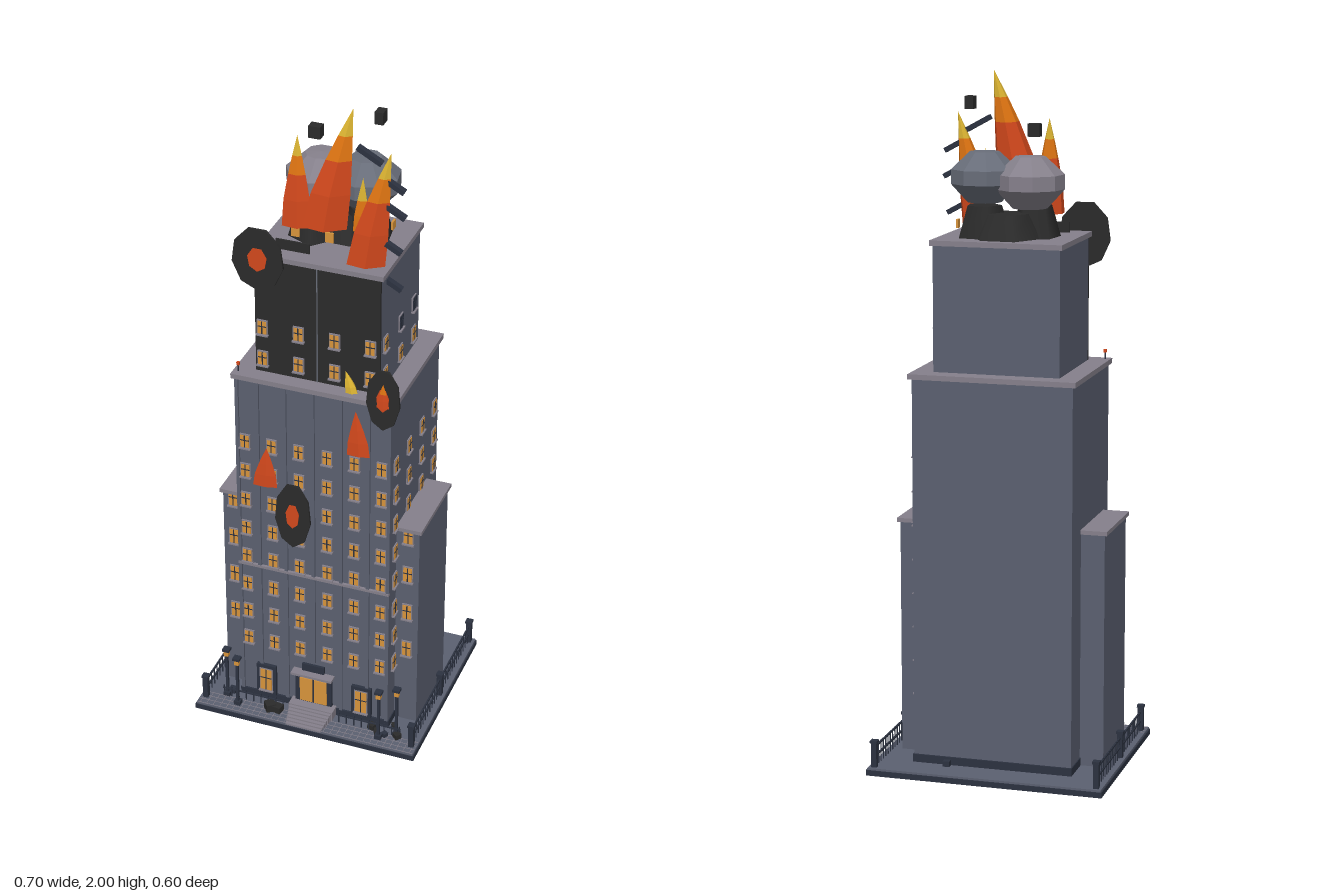
import * as THREE from 'three';

const mat = (name, color) => {
  const m = new THREE.MeshStandardMaterial({ color });
  m.name = name;
  return m;
};

export function createModel() {
  const M = {
    stone: mat('slate stone', 0x5b6070), trim: mat('pale trim', 0x85808b), navy: mat('dark iron', 0x2c3240),
    char: mat('charred black', 0x2b2b2b), lit: mat('lit window', 0xd8943c), red: mat('flame red', 0xd2481c),
    orange: mat('flame orange', 0xe07512), yellow: mat('flame yellow', 0xdcb432), smoke: mat('smoke grey', 0x686d79),
  };
  const root = new THREE.Group();
  const add = (name, geo, m, x = 0, y = 0, z = 0, parent = root) => {
    const mesh = new THREE.Mesh(geo, m);
    mesh.name = name;
    mesh.position.set(x, y, z);
    parent.add(mesh);
    return mesh;
  };
  // Box given by its centre in x and z, and its bottom and top
  const block = (name, m, w, d, y0, y1, x = 0, z = 0, parent = root) =>
    add(name, new THREE.BoxGeometry(w, y1 - y0, d), m, x, (y0 + y1) / 2, z, parent);
  const group = (name, x = 0, y = 0, z = 0, ry = 0) => {
    const g = new THREE.Group();
    g.name = name;
    g.position.set(x, y, z);
    g.rotation.y = ry;
    root.add(g);
    return g;
  };

  // Ground plate and tiled front walk
  block('basePlate', M.navy, 0.7, 0.6, 0, 0.016);
  block('pavement', M.stone, 0.694, 0.594, 0.016, 0.022);
  for (let i = 0; i <= 3; i++) block('tileJoint', M.trim, 0.69, 0.0015, 0.022, 0.023, 0, 0.24 + i * 0.018);
  for (let i = -16; i <= 16; i++) block('tileJoint', M.trim, 0.0015, 0.055, 0.022, 0.023, i * 0.021, 0.268);

  // Stepped tower masses with roof slabs
  block('mainBody', M.stone, 0.47, 0.4, 0.02, 1.15);
  block('plinth', M.navy, 0.476, 0.412, 0.02, 0.045);
  block('mainRoof', M.trim, 0.49, 0.42, 1.15, 1.165);
  block('upperTower', M.stone, 0.37, 0.312, 1.165, 1.525);
  block('upperRoof', M.trim, 0.386, 0.33, 1.525, 1.54);
  for (const s of [-1, 1]) {
    block('sideWing', M.stone, 0.08, 0.25, 0.02, 0.71, s * 0.265, 0.0225);
    block('wingRoof', M.trim, 0.08, 0.265, 0.71, 0.722, s * 0.273, 0.0225);
  }
  for (const x of [-0.23, -0.168, -0.085, 0, 0.085, 0.168, 0.23])
    block('pilaster', M.stone, 0.01, 0.008, x === 0 ? 0.2 : 0.045, 1.15, x, 0.203);
  block('beltCourse', M.trim, 0.47, 0.01, 0.51, 0.518, 0, 0.204);

  // Burnt front of the upper tower
  block('burntFacade', M.char, 0.37, 0.008, 1.165, 1.525, 0, 0.16);
  block('burntSeam', M.smoke, 0.003, 0.003, 1.165, 1.525, 0, 0.1645);

  // Windows: frame, pane, crossing bars and sill
  const pane = (x, y, z, ry = 0, w = 0.026, h = 0.04, m = M.lit) => {
    const g = group('window', x, y, z, ry);
    add('frame', new THREE.BoxGeometry(w + 0.006, h + 0.006, 0.006), M.trim, 0, 0, 0, g);
    add('glass', new THREE.BoxGeometry(w, h, 0.003), m, 0, 0, 0.003, g);
    add('mullion', new THREE.BoxGeometry(0.003, h, 0.003), M.navy, 0, 0, 0.004, g);
    add('transom', new THREE.BoxGeometry(w, 0.003, 0.003), M.navy, 0, h * 0.1, 0.004, g);
    add('sill', new THREE.BoxGeometry(w + 0.01, 0.004, 0.012), M.trim, 0, -h / 2 - 0.004, 0.003, g);
  };
  const side = Math.PI / 2;
  for (let r = 0; r < 8; r++) {
    const y = 0.243 + r * 0.1;
    for (const x of [-0.208, -0.126, -0.043, 0.043, 0.126, 0.208]) pane(x, y, 0.202);
    for (const z of [0.165, 0.055, -0.055, -0.162])
      if (r > 4 || Math.abs(z) > 0.1) pane(0.236, y, z, side);
  }
  for (let r = 0; r < 4; r++) for (const s of [-1, 1]) pane(s * 0.272, 0.29 + r * 0.135, 0.149, 0, 0.026, 0.048);
  for (const y of [1.21, 1.31]) {
    for (const x of [-0.163, -0.055, 0.052, 0.158]) pane(x, y, 0.166);
    for (const z of [0.125, 0, -0.11]) pane(0.186, y, z, side, 0.026, 0.04, y > 1.3 && z < 0.1 ? M.navy : M.lit);
  }

  // Entrance, side entries and front steps
  block('doorSurround', M.navy, 0.116, 0.012, 0.045, 0.16, 0, 0.205);
  for (const s of [-1, 1]) {
    block('doorLeaf', M.lit, 0.04, 0.003, 0.055, 0.14, s * 0.023, 0.212);
    block('sideEntryFrame', M.navy, 0.062, 0.012, 0.045, 0.152, s * 0.152, 0.205);
    pane(s * 0.152, 0.1, 0.21, 0, 0.036, 0.075);
  }
  block('canopy', M.trim, 0.13, 0.03, 0.158, 0.166, 0, 0.217);
  block('blankSign', M.navy, 0.07, 0.008, 0.17, 0.195, 0, 0.21);
  block('landing', M.trim, 0.14, 0.04, 0.02, 0.052, 0, 0.218);
  for (let i = 0; i < 6; i++)
    block('frontStep', M.trim, 0.132 - i * 0.004, 0.0105, 0.02, 0.048 - i * 0.0045, 0, 0.242 + i * 0.0104);

  // Side fences, posts, low front rails and street lamps
  for (const s of [-1, 1]) {
    for (const z of [-0.28, 0, 0.26]) {
      block('fencePost', M.navy, 0.016, 0.016, 0.02, 0.095, s * 0.33, z);
      block('postCap', M.navy, 0.021, 0.021, 0.095, 0.102, s * 0.33, z);
    }
    for (const y of [0.05, 0.078]) block('fenceRail', M.navy, 0.005, 0.54, y, y + 0.005, s * 0.33, -0.01);
    for (let i = 0; i < 25; i++) block('fencePicket', M.navy, 0.003, 0.003, 0.02, 0.085, s * 0.33, -0.265 + i * 0.021);
    block('frontRail', M.navy, 0.2, 0.004, 0.046, 0.05, s * 0.185, 0.233);
    for (let i = 0; i < 9; i++) block('frontPicket', M.navy, 0.003, 0.003, 0.02, 0.058, s * (0.09 + i * 0.024), 0.233);
    for (const [x, z] of [[0.272, 0.23], [0.226, 0.26]]) {
      block('lampFoot', M.navy, 0.02, 0.02, 0.02, 0.036, s * x, z);
      block('lampPost', M.navy, 0.008, 0.008, 0.036, 0.172, s * x, z);
      block('lantern', M.lit, 0.014, 0.014, 0.172, 0.19, s * x, z);
      block('lampCap', M.navy, 0.022, 0.022, 0.19, 0.198, s * x, z);
    }
    block('beaconPole', M.navy, 0.004, 0.004, 1.165, 1.185, s * 0.23, 0.187);
    block('beacon', M.red, 0.008, 0.008, 1.185, 1.194, s * 0.23, 0.187);
  }

  // Blast scars: thin charred discs with a glowing core
  for (const [x, y, z, rx, ry] of [[-0.17, 1.53, 0.174, 0.077, 0.098], [-0.057, 0.73, 0.217, 0.055, 0.11], [0.215, 1.185, 0.218, 0.05, 0.098]]) {
    const g = group('blastScar', x, y, z);
    add('scorch', new THREE.CylinderGeometry(1, 1, 0.008, 9).rotateX(side).toNonIndexed(), M.char, 0, 0, 0, g).scale.set(rx, ry, 1);
    add('glow', new THREE.CylinderGeometry(0.38, 0.38, 0.005, 7).rotateX(side), M.red, 0, 0, 0.004, g).scale.set(rx, ry, 1);
  }

  // Leaning faceted flame in colour bands, built from tapering rings
  const flame = (b, tip, rx, rz, bands = [M.red, M.orange, M.yellow], n = 6) => {
    const cuts = [0, 0.3, 0.58, 0.78, 1], rad = [1, 0.88, 0.58, 0.32, 0];
    const pt = (k, i) => {
      const t = cuts[k], a = (i % n) / n * Math.PI * 2 + 0.3, e = Math.pow(t, 1.25);
      const r = rad[k] * (i % 2 ? 0.86 : 1.06);
      return [b[0] + (tip[0] - b[0]) * e + Math.cos(a) * rx * r, b[1] + (tip[1] - b[1]) * t, b[2] + (tip[2] - b[2]) * e + Math.sin(a) * rz * r];
    };
    const g = group('flame');
    [[0, 1], [2], [3]].forEach((ks, j) => {
      const v = [];
      for (const k of ks) for (let i = 0; i < n; i++) {
        v.push(...pt(k, i), ...pt(k + 1, i), ...pt(k, i + 1));
        if (k < 3) v.push(...pt(k, i + 1), ...pt(k + 1, i), ...pt(k + 1, i + 1));
        if (k === 0) v.push(...pt(0, i), ...pt(0, i + 1), b[0], b[1], b[2]);
      }
      const geo = new THREE.BufferGeometry();
      geo.setAttribute('position', new THREE.Float32BufferAttribute(v, 3));
      geo.computeVertexNormals();
      add('flameBand', geo, bands[j], 0, 0, 0, g);
    });
  };
  flame([0.01, 1.65, 0.115], [0.085, 2.0, 0.112], 0.066, 0.072);
  flame([0.118, 1.535, 0.09], [0.187, 1.88, 0.095], 0.058, 0.06);
  flame([-0.095, 1.6, 0.065], [-0.093, 1.87, 0.066], 0.046, 0.038);
  flame([0.095, 1.62, 0.07], [0.1, 1.78, 0.075], 0.025, 0.025, [M.orange, M.yellow, M.yellow]);
  flame([-0.148, 0.81, 0.206], [-0.138, 0.94, 0.212], 0.04, 0.016, [M.red, M.red, M.red]);
  flame([0.137, 0.98, 0.206], [0.132, 1.125, 0.212], 0.037, 0.016, [M.red, M.red, M.red]);
  flame([0.108, 1.165, 0.178], [0.09, 1.23, 0.18], 0.018, 0.016, [M.yellow, M.yellow, M.yellow]);
  flame([0.215, 1.165, 0.226], [0.217, 1.24, 0.226], 0.02, 0.006, [M.red, M.orange, M.orange]);

  // Charred rubble on the roof
  const rubble = (x, y, z, r, h, n, turn) =>
    add('roofRubble', new THREE.CylinderGeometry(r * 0.65, r, h, n).toNonIndexed(), M.char, x, y, z).rotation.y = turn;
  rubble(0, 1.575, -0.05, 0.1, 0.07, 6, 0.5);
  rubble(-0.07, 1.585, 0, 0.075, 0.09, 5, 0.2);
  rubble(0.07, 1.585, -0.04, 0.08, 0.09, 5, 1.1);
  for (const x of [-0.1, 0]) block('ember', M.lit, 0.024, 0.006, 1.56, 1.59, x, 0.068);
  block('ember', M.lit, 0.006, 0.022, 1.565, 1.59, 0.14, -0.06);
  block('brokenParapet', M.char, 0.1, 0.005, 1.54, 1.57, -0.09, 0.115);

  // Faceted smoke clouds
  const puff = [[0, -0.078], [0.05, -0.075], [0.1, -0.02], [0.1, 0.022], [0.045, 0.072], [0, 0.075]].map(p => new THREE.Vector2(...p));
  const cloud = (m, x, y, z, s) => {
    const geo = new THREE.LatheGeometry(puff, 9).toNonIndexed();
    geo.computeVertexNormals();
    add('smokeCloud', geo, m, x, y, z).scale.setScalar(s);
  };
  cloud(M.trim, -0.067, 1.7, -0.045, 0.99);
  cloud(M.smoke, 0.066, 1.712, -0.045, 0.97);

  // Flying chunks and tilted beams
  add('flyingChunk', new THREE.BoxGeometry(0.025, 0.036, 0.034), M.char, 0.111, 1.917, -0.03);
  add('flyingChunk', new THREE.BoxGeometry(0.035, 0.036, 0.028), M.char, -0.075, 1.843, -0.026);
  for (const [x, y, z, l] of [[0.118, 1.85, 0.073, 0.08], [0.195, 1.785, 0.095, 0.07], [0.2, 1.71, 0.1, 0.07], [0.2, 1.6, 0.105, 0.05], [0.205, 1.49, 0.11, 0.05]])
    add('brokenBeam', new THREE.BoxGeometry(l, 0.014, 0.018), M.navy, x, y, z).rotation.z = -0.5;

  // Fallen debris around the base
  [[-0.262, 0.212, 0.02], [-0.125, 0.25, 0.03], [-0.1, 0.25, 0.026], [-0.135, 0.235, 0.016], [0.193, 0.225, 0.02], [0.215, 0.243, 0.018],
    [0.24, 0.245, 0.016], [0.255, 0.2, 0.018], [0.278, 0.24, 0.02], [0.132, -0.215, 0.02]].forEach(([x, z, s], i) => {
    block('debris', i % 3 ? M.char : M.navy, s, s, 0.02, 0.02 + s * 0.9, x, z).rotation.y = i * 0.7;
  });
  return root;
}
